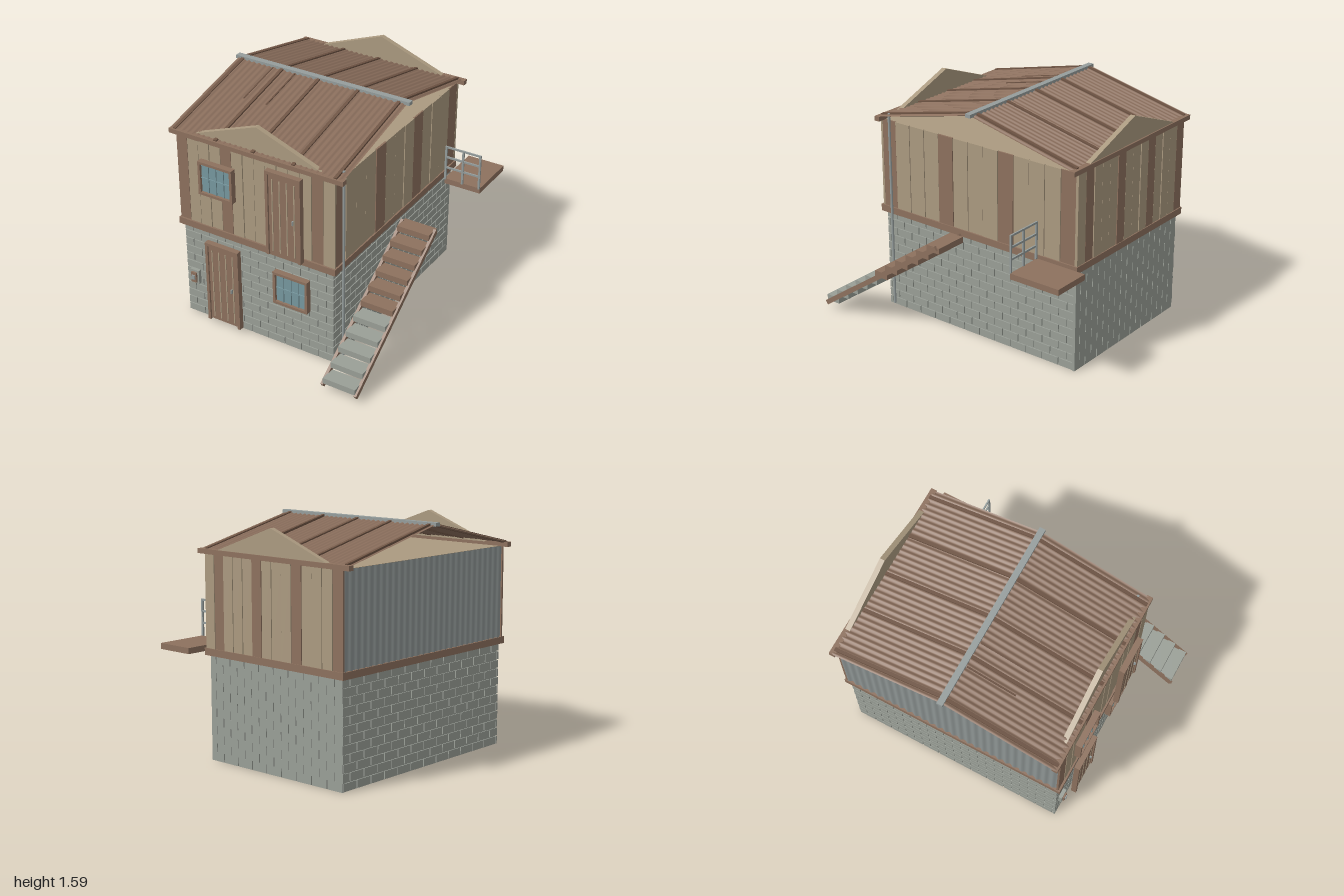
import * as THREE from 'three';
import { mergeGeometries } from 'three/addons/utils/BufferGeometryUtils.js';

const mat = (name, color, side = THREE.FrontSide) => {
  const m = new THREE.MeshStandardMaterial({ color, side });
  m.name = name;
  return m;
};

export function createModel() {
  const stone = mat('stone', 0x9a9f97);
  const tan = mat('paleWood', 0xab9a80);
  const brown = mat('brownWood', 0x8d715e);
  const roofMat = mat('roofSheet', 0x8a6e5c, THREE.DoubleSide);
  const dark = mat('darkWood', 0x6e5444);
  const metal = mat('metal', 0x959d9c);
  const siding = mat('metalSiding', 0x8d9493, THREE.DoubleSide);
  const glass = mat('glass', 0x77989f);

  const root = new THREE.Group();
  root.name = 'twoStoreyHouse';

  const add = (parent, name, geo, material) => {
    const m = new THREE.Mesh(geo, material);
    m.name = name;
    parent.add(m);
    return m;
  };
  const group = (name) => {
    const g = new THREE.Group();
    g.name = name;
    root.add(g);
    return g;
  };
  // Box geometry from its min and max on each axis
  const span = (x0, x1, y0, y1, z0, z1) =>
    new THREE.BoxGeometry(x1 - x0, y1 - y0, z1 - z0).translate((x0 + x1) / 2, (y0 + y1) / 2, (z0 + z1) / 2);
  const box = (parent, name, material, ...s) => add(parent, name, span(...s), material);
  // Plane with waves running across its width
  const corrugated = (w, h, waves, amp) => {
    const g = new THREE.PlaneGeometry(w, h, waves * 6, 1);
    const p = g.attributes.position;
    for (let i = 0; i < p.count; i++) p.setZ(i, amp * Math.sin((p.getX(i) / w) * waves * Math.PI * 2));
    g.computeVertexNormals();
    return g;
  };

  // Stone ground floor: core with raised blocks
  const ground = group('groundFloor');
  box(ground, 'stoneCore', stone, -0.702, 0.437, 0, 0.71, -0.874, 0.692);
  const rows = 12, rowH = 0.71 / rows, gap = 0.004;
  const bricks = (a, b, gapY, place) => {
    const out = [];
    for (let r = 0; r < rows; r++) {
      const y0 = r * rowH + gapY, y1 = (r + 1) * rowH - gapY;
      const step = 0.13;
      for (let s = a - (r % 2) * step / 2; s < b - 0.01; s += step) {
        const s0 = Math.max(s + gap, a), s1 = Math.min(s + step - gap, b);
        if (s1 - s0 > 0.015) out.push(place(s0, s1, y0, y1));
      }
    }
    return mergeGeometries(out);
  };
  add(ground, 'frontBlocks', bricks(-0.71, 0.445, gap, (a, b, c, d) => span(a, b, c, d, 0.68, 0.70)), stone);
  add(ground, 'backBlocks', bricks(-0.71, 0.445, 0, (a, b, c, d) => span(a, b, c, d, -0.88, -0.86)), stone);
  add(ground, 'rightBlocks', bricks(-0.88, 0.70, gap, (a, b, c, d) => span(0.425, 0.445, c, d, a, b)), stone);
  add(ground, 'leftBlocks', bricks(-0.88, 0.70, gap, (a, b, c, d) => span(-0.71, -0.69, c, d, a, b)), stone);

  // Timber upper floor: core, belt beam and boards
  const upper = group('upperFloor');
  box(upper, 'upperCore', tan, -0.715, 0.455, 0.73, 1.37, -0.885, 0.705);
  box(upper, 'beltBeam', brown, -0.735, 0.475, 0.705, 0.752, -0.905, 0.728);
  const boards = (name, from, to, count, browns, place) => {
    const w = (to - from) / count, sets = [[], []];
    for (let i = 0; i < count; i++) {
      const lift = (i % 3) * 0.002;
      sets[browns.includes(i) ? 1 : 0].push(place(from + i * w + 0.002, from + (i + 1) * w - 0.002, lift));
    }
    add(upper, name + 'PaleBoards', mergeGeometries(sets[0]), tan);
    add(upper, name + 'BrownBoards', mergeGeometries(sets[1]), brown);
  };
  boards('front', -0.73, 0.467, 14, [0, 4, 12], (a, b, l) => span(a, b, 0.75, 1.37, 0.70, 0.714 + l));
  boards('back', -0.73, 0.467, 14, [0, 4, 8, 12], (a, b, l) => span(a, b, 0.75, 1.37, -0.897 - l, -0.88));
  boards('right', -0.89, 0.71, 13, [0, 4, 8, 12], (a, b, l) => span(0.45, 0.464 + l, 0.75, 1.37, a, b));
  const leftSheet = add(upper, 'leftMetalSiding', corrugated(1.6, 0.62, 28, 0.006), siding);
  leftSheet.rotation.y = -Math.PI / 2;
  leftSheet.position.set(-0.724, 1.06, -0.09);

  // Eave beams and upright gable boards
  const roof = group('roof');
  const tri = new THREE.Shape([[-0.61, 1.395], [0.36, 1.395], [-0.13, 1.575]].map((p) => new THREE.Vector2(...p)));
  for (const [side, z0, z1, gz] of [['front', 0.678, 0.718, 0.648], ['back', -0.908, -0.868, -0.9]]) {
    box(roof, side + 'EaveBeam', brown, -0.785, 0.522, 1.368, 1.4, z0, z1);
    add(roof, side + 'Gable', new THREE.ExtrudeGeometry(tri, { depth: 0.035, bevelEnabled: false }).translate(0, 0, gz), tan);
  }

  // Two corrugated slopes with battens
  const run = 0.79, rise = 0.18, slopeLen = Math.hypot(run, rise) + 0.01;
  for (const s of [1, -1]) {
    const slope = new THREE.Group();
    slope.name = s > 0 ? 'frontSlope' : 'backSlope';
    slope.position.set(-0.135, 1.488, -0.09 + s * run / 2);
    slope.rotation.x = s * Math.atan2(rise, run);
    roof.add(slope);
    add(slope, 'sheet', corrugated(1.3, slopeLen, 32, 0.005).rotateX(-Math.PI / 2), roofMat);
    for (const x of [-0.61, -0.295, -0.01, 0.29, 0.595])
      box(slope, 'batten', dark, x - 0.011, x + 0.011, -0.008, 0.011, -slopeLen / 2, slopeLen / 2);
    if (s > 0) for (const x of [-0.365, -0.19])
      box(slope, 'shortBatten', dark, x - 0.005, x + 0.005, -0.016, 0.007, -0.38, -0.03);
  }
  box(roof, 'ridgeCap', metal, -0.8, 0.535, 1.568, 1.592, -0.112, -0.07);

  // Doors: frame, leaf, pale strips and handle
  const door = (name, x, y, z) => {
    const g = group(name);
    g.position.set(x, y, z);
    box(g, 'leaf', brown, -0.108, 0.108, 0.01, 0.59, 0, 0.022);
    for (const s of [-1, 1]) box(g, 'doorPost', brown, s * 0.12 - 0.01, s * 0.12 + 0.01, 0, 0.6, -0.006, 0.032);
    box(g, 'doorHead', brown, -0.13, 0.13, 0.592, 0.612, -0.006, 0.034);
    for (const sx of [-0.081, -0.027, 0.027, 0.081]) box(g, 'doorStrip', tan, sx - 0.004, sx + 0.004, 0.03, 0.56, 0.018, 0.025);
    box(g, 'doorHandle', metal, 0.068, 0.076, 0.275, 0.305, 0.02, 0.037);
  };
  door('lowerDoor', -0.38, 0.032, 0.73);
  door('upperDoor', 0.125, 0.745, 0.752);

  // Windows: frame, pane and glazing bars
  const windowUnit = (name, x, y, z) => {
    const g = group(name);
    g.position.set(x, y, z);
    box(g, 'pane', glass, -0.12, 0.12, -0.11, 0.11, 0, 0.024);
    for (const s of [-1, 1]) {
      box(g, 'sideFrame', brown, s * 0.122 - 0.009, s * 0.122 + 0.009, -0.12, 0.12, 0, 0.042);
      box(g, 'crossFrame', brown, -0.131, 0.131, s * 0.112 - 0.009, s * 0.112 + 0.009, 0, 0.043);
    }
    for (const bx of [-0.058, 0, 0.058]) box(g, 'uprightBar', glass, bx - 0.004, bx + 0.004, -0.1, 0.1, 0.02, 0.032);
    box(g, 'crossBar', glass, -0.115, 0.115, -0.004, 0.004, 0.02, 0.031);
  };
  windowUnit('lowerWindow', 0.14, 0.465, 0.70);
  windowUnit('upperWindow', -0.405, 1.13, 0.72);

  // Wall box beside the lower door
  const meter = group('wallBox');
  box(meter, 'backPlate', stone, -0.672, -0.602, 0.255, 0.36, 0.69, 0.725);
  box(meter, 'cover', brown, -0.658, -0.616, 0.268, 0.345, 0.72, 0.737);
  box(meter, 'dial', metal, -0.65, -0.625, 0.293, 0.325, 0.73, 0.745);

  // Drain pipe at the front right corner
  const pipe = add(root, 'drainPipe', new THREE.CylinderGeometry(0.009, 0.009, 1.39, 12), metal);
  pipe.position.set(0.478, 0.728, 0.63);

  // Outdoor stairs: five stone treads, six wooden ones
  const stairs = group('stairs');
  for (let i = 0; i < 11; i++) {
    const y = 0.085 + i * 0.064, z = 0.932 - i * 0.0925;
    box(stairs, 'tread', i < 5 ? stone : brown, 0.542, 0.778, y - 0.021, y + 0.021, z - 0.054, z + 0.054);
  }
  const stairAngle = Math.atan2(0.69, 1.0);
  for (const x of [0.538, 0.782]) {
    const beam = add(stairs, 'stringer', new THREE.BoxGeometry(0.02, 0.034, 1.225), brown);
    beam.position.set(x, 0.395, 0.48);
    beam.rotation.x = stairAngle;
  }

  // Landing with railing
  const landing = group('landing');
  box(landing, 'deck', brown, 0.525, 0.797, 0.716, 0.756, -1, -0.632);
  for (const x of [0.531, 0.661, 0.788]) box(landing, 'railPost', metal, x - 0.007, x + 0.007, 0.75, 1.01, -0.638, -0.626);
  for (const y of [0.845, 0.925, 1.003]) box(landing, 'rail', metal, 0.526, 0.794, y - 0.006, y + 0.007, -0.637, -0.627);

  return root;
}
